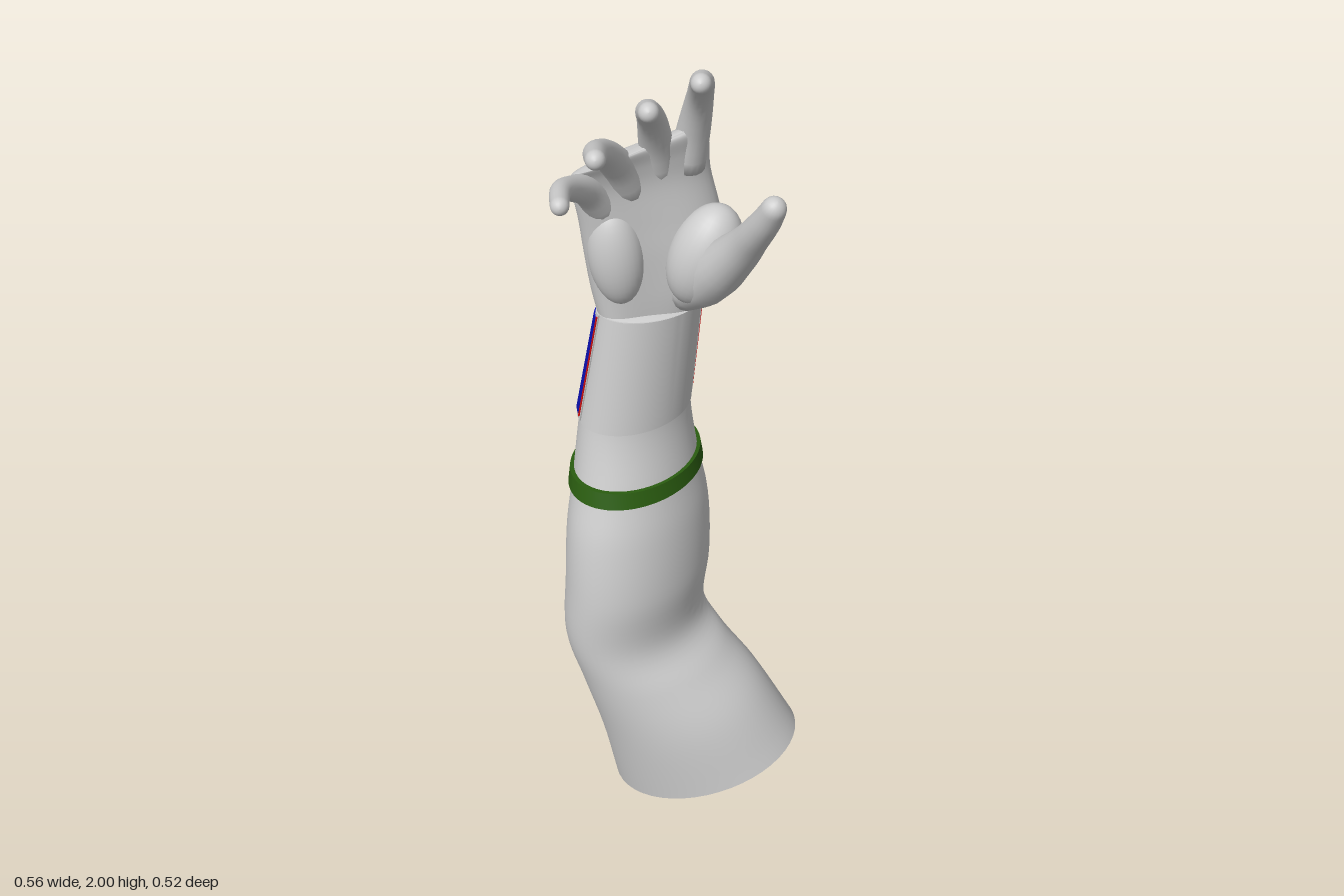
import * as THREE from 'three';
import { toCreasedNormals } from 'three/addons/utils/BufferGeometryUtils.js';

const V = (x, y, z) => new THREE.Vector3(x, y, z);
const paint = (color) => new THREE.MeshStandardMaterial({ color, side: THREE.DoubleSide });
const grey = paint(0xcccccc), blue = paint(0x0a10b8), green = paint(0x2a5c10), red = paint(0xdd1111);

// Skin a list of point rings; optional fan caps at either end
function loft(rings, capStart, capEnd) {
  const n = rings[0].length, pts = rings.flat(), index = [];
  for (let i = 0; i < rings.length - 1; i++)
    for (let j = 0; j < n; j++) {
      const a = i * n + j, b = i * n + (j + 1) % n;
      index.push(a, b, b + n, a, b + n, a + n);
    }
  const cap = (row, flip) => {
    const c = pts.length, s = row * n;
    pts.push(rings[row].reduce((m, p) => m.add(p), V(0, 0, 0)).divideScalar(n));
    for (let j = 0; j < n; j++) {
      const a = s + j, b = s + (j + 1) % n;
      index.push(c, flip ? b : a, flip ? a : b);
    }
  };
  if (capStart) cap(0, true);
  if (capEnd) cap(rings.length - 1, false);
  const g = new THREE.BufferGeometry().setFromPoints(pts);
  g.setIndex(index);
  g.computeVertexNormals();
  return g;
}

// Smooth body from sections: [-x edge xyz, +x edge xyz, half depth]
function body(sections) {
  const curve = (f) => new THREE.CatmullRomCurve3(sections.map(f), false, 'catmullrom', 0.5);
  const A = curve((s) => V(s[0], s[1], s[2])), B = curve((s) => V(s[3], s[4], s[5]));
  const D = curve((s, i) => V(s[6], i, 0));
  const point = (t, a, off = 0, hollow = 0) => {
    const p = A.getPoint(t), q = B.getPoint(t), u = q.clone().sub(p).multiplyScalar(0.5);
    const len = u.length(), s = Math.sin(a);
    const depth = D.getPoint(t).x + off;
    const dent = s < 0 ? 1 - hollow * s ** 4 : 1;
    return p.add(q).multiplyScalar(0.5)
      .addScaledVector(u, Math.cos(a) * (len + off) / len)
      .add(V(0, 0, -s * depth * dent));
  };
  const rings = (rows, n, hollow) => Array.from({ length: rows + 1 }, (_, i) =>
    Array.from({ length: n }, (_, j) => point(i / rows, j / n * Math.PI * 2, 0, hollow)));
  const atHeight = (y) => {
    let lo = 0, hi = 1;
    for (let i = 0; i < 30; i++) {
      const m = (lo + hi) / 2;
      if (A.getPoint(m).y < y) lo = m; else hi = m;
    }
    return lo;
  };
  return { point, rings, atHeight };
}

// Tapered digit with a round tip, through the given points
function digit(points, radii) {
  const c = new THREE.CatmullRomCurve3(points.map((p) => V(...p)));
  const length = c.getLength(), rings = [], rows = 30, n = 18;
  for (let i = 0; i <= rows; i++) {
    const t = 1 - (1 - i / rows) ** 2, f = t * (radii.length - 1);
    const k = Math.min(Math.floor(f), radii.length - 2);
    let r = THREE.MathUtils.lerp(radii[k], radii[k + 1], f - k);
    const left = (1 - t) * length;
    if (left < r) r *= Math.sqrt(Math.max(1 - (1 - left / r) ** 2, 0.0004));
    const T = c.getTangentAt(t), N = V(1, 0, 0).addScaledVector(T, -T.x).normalize();
    const B = T.clone().cross(N), p = c.getPointAt(t);
    rings.push(Array.from({ length: n }, (_, j) => {
      const a = j / n * Math.PI * 2;
      return p.clone().addScaledVector(N, r * Math.cos(a)).addScaledVector(B, r * Math.sin(a));
    }));
  }
  return loft(rings, true, true);
}

export function createModel() {
  const model = new THREE.Group();
  const add = (name, geometry, material = grey, parent = model) => {
    const m = new THREE.Mesh(geometry, material);
    m.name = name;
    parent.add(m);
    return m;
  };

  // Arm, open at the slanted lower end, its oval twisted along the forearm
  const arm = body([
    [-0.17, 0, -0.04, 0.28, 0.17, -0.005, 0.184],
    [-0.203, 0.19, -0.025, 0.19, 0.32, -0.025, 0.178],
    [-0.245, 0.36, -0.012, 0.105, 0.42, -0.06, 0.166],
    [-0.28, 0.5, -0.01, 0.052, 0.5, -0.11, 0.165],
    [-0.275, 0.65, -0.015, 0.065, 0.65, -0.131, 0.178],
    [-0.267, 0.8, -0.028, 0.06, 0.8, -0.138, 0.165],
    [-0.25, 0.92, -0.056, 0.037, 0.92, -0.14, 0.146],
    [-0.231, 1.07, -0.078, 0.018, 1.07, -0.148, 0.118],
    [-0.205, 1.22, -0.075, 0.023, 1.22, -0.135, 0.101],
    [-0.18, 1.35, -0.071, 0.04, 1.35, -0.121, 0.08],
  ]);
  add('arm', loft(arm.rings(54, 48, 0), false, true));

  // Strip wrapped on the arm between two heights and two angles
  const wrap = (y0, y1, a0, a1, inner, outer) => {
    const steps = Math.max(2, Math.ceil((a1 - a0) * 10)), full = a1 - a0 > 6.28;
    const t0 = arm.atHeight(y0), t1 = arm.atHeight(y1), rings = [];
    for (let i = 0; i <= steps; i++) {
      const a = a0 + (a1 - a0) * i / steps;
      rings.push([[t0, outer], [t0, inner], [t1, inner], [t1, outer]].map(([t, o]) => arm.point(t, a, o)));
    }
    return toCreasedNormals(loft(rings, !full, !full), 0.6);
  };
  const TAU = Math.PI * 2, start = 0.16, end = Math.PI + 0.24;

  // Wrist cuff with its curved screen
  const cuff = new THREE.Group();
  cuff.name = 'cuff';
  model.add(cuff);
  add('sleeve', wrap(1.07, 1.349, 0, TAU, -0.01, 0.003), grey, cuff);
  add('screenFrame', wrap(1.075, 1.348, start - 0.08, end + 0.08, 0, 0.006), grey, cuff);
  add('screen', wrap(1.09, 1.338, start, end, 0, 0.009), blue, cuff);
  for (const [i, a] of [start - 0.05, end + 0.01].entries())
    add('redEdge' + (i + 1), wrap(1.085, 1.342, a, a + 0.04, 0, 0.0085), red, cuff);
  const clip = add('clip', new THREE.BoxGeometry(0.036, 0.045, 0.018), grey, cuff);
  clip.position.set(-0.115, 1.34, -0.182);
  clip.rotation.set(0.2, 0.3, 0);

  // Band round the forearm and notched strap up to the cuff
  add('band', wrap(0.905, 0.942, 0, TAU, -0.006, 0.009), green);
  add('strap', wrap(0.9, 1.075, 1.55, 1.87, -0.004, 0.006), green);
  for (let i = 0; i < 7; i++) {
    const y = 0.945 + i * 0.018;
    add('strapTooth', wrap(y, y + 0.009, 1.53, 1.89, 0, 0.0065), green);
  }

  // Palm, hollowed on its front and curling forward at the knuckles
  const hand = new THREE.Group();
  hand.name = 'hand';
  model.add(hand);
  const palm = body([
    [-0.18, 1.33, -0.071, 0.04, 1.33, -0.121, 0.078],
    [-0.197, 1.41, -0.072, 0.065, 1.41, -0.112, 0.08],
    [-0.208, 1.5, -0.062, 0.09, 1.5, -0.11, 0.076],
    [-0.216, 1.58, -0.05, 0.078, 1.58, -0.108, 0.068],
    [-0.226, 1.65, -0.034, 0.058, 1.67, -0.098, 0.055],
    [-0.228, 1.69, -0.015, 0.054, 1.735, -0.082, 0.045],
    [-0.218, 1.715, 0.005, 0.052, 1.785, -0.062, 0.033],
    [-0.19, 1.725, 0.016, 0.04, 1.8, -0.05, 0.012],
  ]);
  add('palm', loft(palm.rings(42, 40, 0.3), true, true), grey, hand);

  // Fingers and thumb, base to tip
  const taper = [0.04, 0.034, 0.027, 0.024, 0.019];
  add('indexFinger', digit([[0.008, 1.69, -0.085], [0.022, 1.78, -0.06], [0.032, 1.865, -0.015],
    [0.035, 1.935, 0.06], [0.03, 1.985, 0.168]], taper), grey, hand);
  add('middleFinger', digit([[-0.05, 1.68, -0.075], [-0.055, 1.765, -0.038], [-0.062, 1.84, 0.02],
    [-0.068, 1.905, 0.12], [-0.066, 1.965, 0.243]], taper), grey, hand);
  add('ringFinger', digit([[-0.11, 1.65, -0.06], [-0.132, 1.72, -0.018], [-0.153, 1.775, 0.04],
    [-0.168, 1.83, 0.14], [-0.165, 1.875, 0.258]], taper), grey, hand);
  add('littleFinger', digit([[-0.165, 1.61, -0.05], [-0.193, 1.67, -0.006], [-0.218, 1.708, 0.055],
    [-0.238, 1.743, 0.13], [-0.236, 1.762, 0.235]], [0.038, 0.032, 0.025, 0.021, 0.018]), grey, hand);
  add('thumb', digit([[0, 1.38, -0.09], [0.045, 1.44, -0.035], [0.087, 1.515, 0.02], [0.12, 1.58, 0.07],
    [0.14, 1.635, 0.115], [0.16, 1.69, 0.155], [0.178, 1.75, 0.19]],
    [0.045, 0.056, 0.057, 0.046, 0.036, 0.031, 0.023]), grey, hand);
  // Fleshy pads at the heel of the hand
  const pad = (name, position, size, roll) => {
    const m = add(name, new THREE.SphereGeometry(1, 28, 20), grey, hand);
    m.position.set(...position);
    m.scale.set(...size);
    m.rotation.z = roll;
  };
  pad('thumbPad', [0.045, 1.5, -0.04], [0.075, 0.12, 0.07], -0.35);
  pad('heelPad', [-0.14, 1.5, -0.045], [0.06, 0.12, 0.055], 0.1);

  return model;
}
